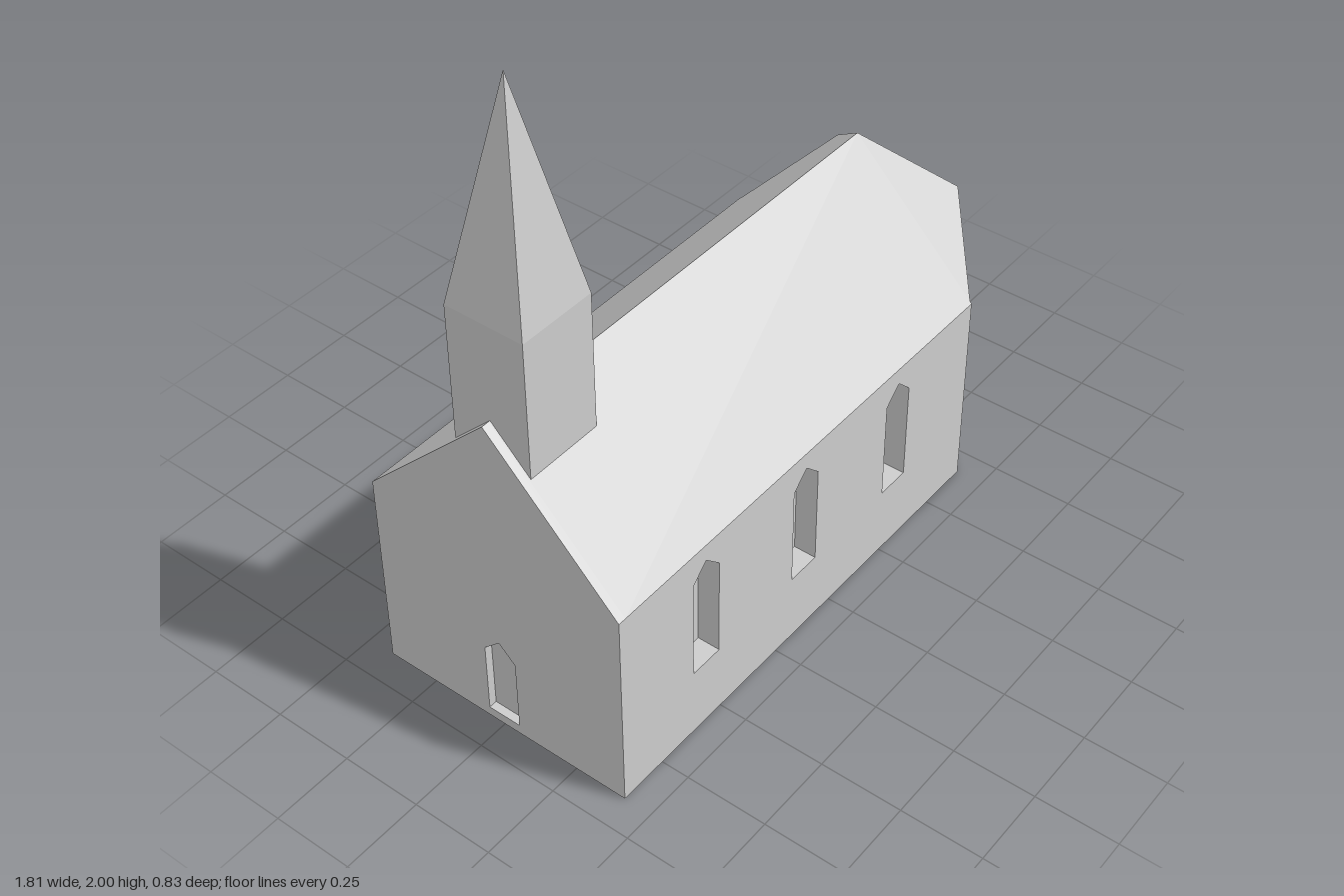
import * as THREE from 'three';
import { ConvexGeometry } from 'three/addons/geometries/ConvexGeometry.js';

const HALF = 0.414, EAVE = 0.645, RIDGE = EAVE + HALF;
const WEST = -0.905, EAST = 0.668, APSE_END = 0.902;
const NICHE = 0.07, DOOR_DEPTH = 0.025;

// Pointed opening outline, centred on cx
function pointedArch(cx, width, base, shoulder, tip) {
  const w = width / 2;
  return [[cx - w, base], [cx + w, base], [cx + w, shoulder], [cx, tip], [cx - w, shoulder]]
    .map(([x, y]) => new THREE.Vector2(x, y));
}

// Extruded outline with openings cut through it
function slab(outline, holes, depth) {
  const shape = new THREE.Shape(outline.map(([x, y]) => new THREE.Vector2(x, y)));
  for (const hole of holes) shape.holes.push(new THREE.Path(hole));
  return new THREE.ExtrudeGeometry(shape, { depth, bevelEnabled: false });
}

export function createModel() {
  const model = new THREE.Group();
  model.name = 'church';
  const stone = new THREE.MeshStandardMaterial({ color: 0xcccccc });
  stone.name = 'grey stone';

  function add(name, geometry, x = 0, y = 0, z = 0, turn = 0) {
    const mesh = new THREE.Mesh(geometry, stone);
    mesh.name = name;
    mesh.position.set(x, y, z);
    mesh.rotation.y = turn;
    model.add(mesh);
  }

  // Inner block forming the backs of the window and door niches
  const coreStart = WEST + DOOR_DEPTH;
  add('naveCore', new THREE.BoxGeometry(EAST - coreStart, EAVE, 2 * (HALF - NICHE)),
    (EAST + coreStart) / 2, EAVE / 2, 0);

  // Long walls with three pointed windows each
  for (const side of [1, -1]) {
    const ends = [coreStart * side, EAST * side].sort((a, b) => a - b);
    const windows = [-0.56, -0.127, 0.306]
      .map((x) => pointedArch(x * side, 0.108, 0.22, 0.54, 0.592));
    const outline = [[ends[0], 0], [ends[1], 0], [ends[1], EAVE], [ends[0], EAVE]];
    add(side > 0 ? 'frontWall' : 'backWall', slab(outline, windows, NICHE),
      0, 0, side * (HALF - NICHE), side > 0 ? 0 : Math.PI);
  }

  // Gable wall with the pointed door
  const gable = [[-HALF, 0], [HALF, 0], [HALF, EAVE], [0, RIDGE], [-HALF, EAVE]];
  add('gableWall', slab(gable, [pointedArch(0, 0.105, 0.03, 0.26, 0.31)], DOOR_DEPTH),
    coreStart, 0, 0, -Math.PI / 2);

  // Nave roof
  add('naveRoof', slab([[-HALF, EAVE], [HALF, EAVE], [0, RIDGE]], [], EAST - coreStart),
    EAST, 0, 0, -Math.PI / 2);

  // Angled apse with a hipped roof
  const points = [new THREE.Vector3(EAST, RIDGE, 0)];
  const run = APSE_END - EAST;
  for (const [start, end] of [[0.408, 0.195], [-0.402, -0.177]]) {
    const a = Math.abs(start), hip = a / (1 + (a - Math.abs(end)) / run);
    points.push(
      new THREE.Vector3(EAST, 0, start),
      new THREE.Vector3(EAST, RIDGE - a, start),
      new THREE.Vector3(APSE_END, 0, end),
      new THREE.Vector3(APSE_END, RIDGE - run, end),
      new THREE.Vector3(EAST + hip, RIDGE - hip, Math.sign(start) * hip));
  }
  add('apse', new ConvexGeometry(points));

  // Bell tower and spire astride the ridge
  const towerX = -0.752, width = 0.247, base = 0.935, top = 1.357;
  add('tower', new THREE.BoxGeometry(width, top - base, width), towerX, (base + top) / 2, 0);
  const spire = new THREE.ConeGeometry(width / Math.SQRT2, 2 - top, 4, 1)
    .rotateY(Math.PI / 4).toNonIndexed();
  spire.computeVertexNormals();
  add('spire', spire, towerX, (2 + top) / 2, 0);

  return model;
}
